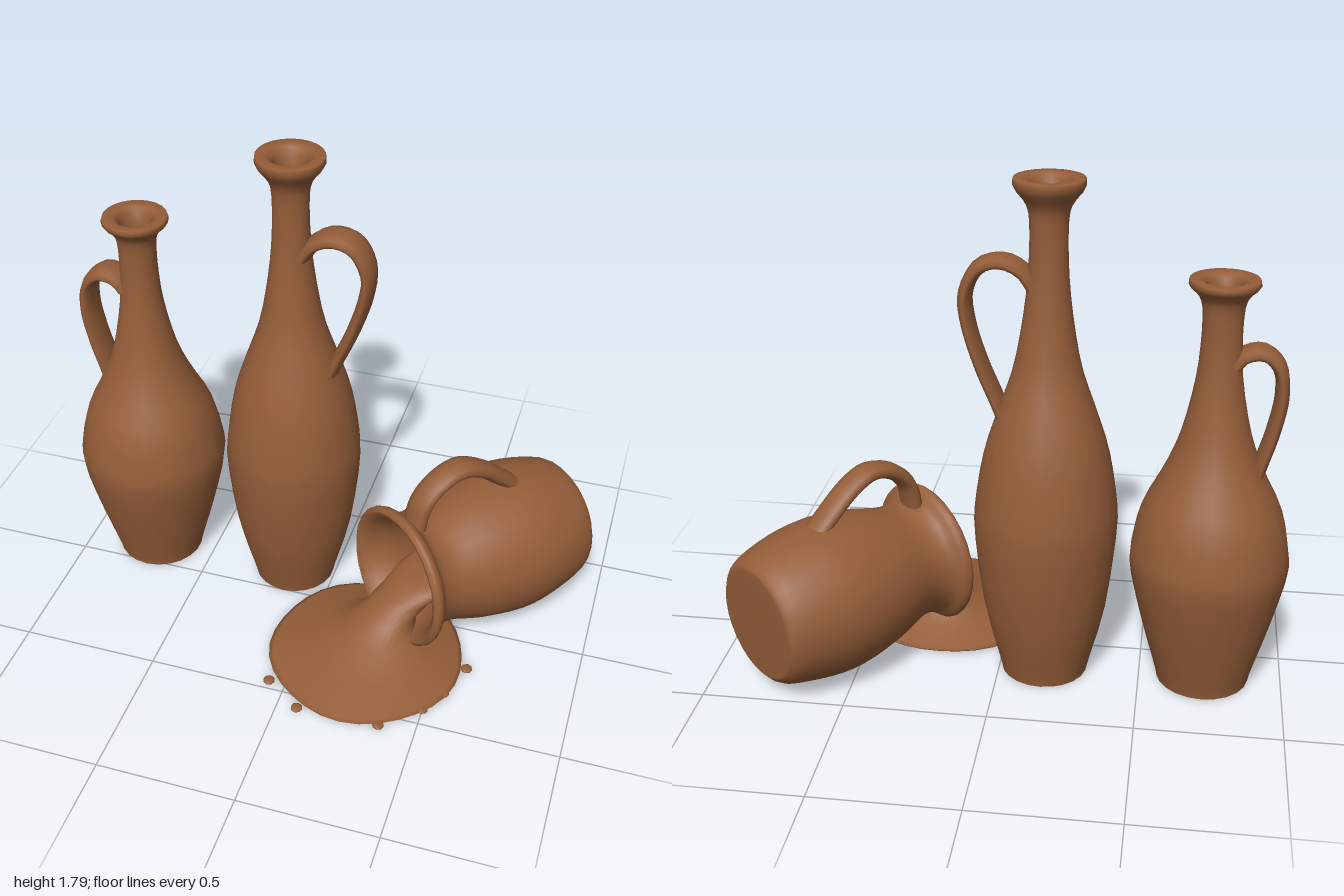
import * as THREE from 'three';

const clay = new THREE.MeshStandardMaterial({ color: 0x945d39 });
clay.name = 'terracotta';

const mesh = (name, geometry) => {
  const m = new THREE.Mesh(geometry, clay);
  m.name = name;
  return m;
};
const smooth = (pts, n) =>
  new THREE.SplineCurve(pts.map(([r, y]) => new THREE.Vector2(r, y))).getPoints(n);

// Strap handle: a tube along a planar curve, widened across the plane
function handle(name, pts, radius, widen) {
  const curve = new THREE.CatmullRomCurve3(pts.map(([x, y]) => new THREE.Vector3(x, y, 0)));
  return mesh(name, new THREE.TubeGeometry(curve, 28, radius, 10).scale(1, 1, widen));
}

// Hollow bottle: outer wall up, over the lip, inner wall down to an open foot
function bottle(name, x, z, outer, inner, handlePts) {
  const wall = [...smooth(outer, 32), ...smooth(inner, 20)];
  wall.push(wall[0].clone());
  const g = new THREE.Group();
  g.name = name;
  g.add(mesh('bottleBody', new THREE.LatheGeometry(wall, 22)));
  g.add(handle('bottleHandle', handlePts, 0.024, 2.8));
  g.position.set(x, 0, z);
  return g;
}

// Jug lying on its side; local y runs from base to mouth, local x is up
function fallenJug() {
  const g = new THREE.Group();
  g.name = 'fallenJug';
  const outer = smooth([[0.2, 0], [0.237, 0.04], [0.272, 0.18], [0.28, 0.31], [0.258, 0.46],
    [0.222, 0.58], [0.215, 0.64], [0.228, 0.69], [0.26, 0.72], [0.266, 0.745], [0.248, 0.76]], 30);
  const inner = smooth([[0.225, 0.745], [0.192, 0.66], [0.195, 0.58], [0.235, 0.45],
    [0.252, 0.3], [0.21, 0.06], [0.001, 0.04]], 18);
  const wall = [new THREE.Vector2(0, 0), ...outer, ...inner];
  g.add(mesh('jugBody', new THREE.LatheGeometry(wall, 28)));
  g.add(handle('jugHandle', [[0.19, 0.69], [0.31, 0.665], [0.38, 0.6], [0.408, 0.51],
    [0.375, 0.42], [0.3, 0.32], [0.25, 0.26]], 0.03, 1.8));

  const base = new THREE.Vector3(0.803, 0.282, -0.45);
  const mouth = new THREE.Vector3(0.315, 0.31, 0.105);
  const y = mouth.clone().sub(base).normalize();
  const x = new THREE.Vector3(0, 1, 0).addScaledVector(y, -y.y).normalize();
  const z = new THREE.Vector3().crossVectors(x, y);
  g.quaternion.setFromRotationMatrix(new THREE.Matrix4().makeBasis(x, y, z));
  g.position.copy(base);
  return g;
}

// Spill: round sections [x, z, y, radius] from under the puddle up into the mouth
function spill() {
  const rings = [
    [0.235, 0.225, 0.014, 0.001], [0.235, 0.225, 0.014, 0.345], [0.235, 0.225, 0.024, 0.355],
    [0.235, 0.225, 0.03, 0.34], [0.25, 0.205, 0.06, 0.23], [0.265, 0.165, 0.1, 0.135],
    [0.29, 0.12, 0.15, 0.1], [0.34, 0.06, 0.2, 0.1], [0.4, 0, 0.25, 0.12],
    [0.46, -0.07, 0.27, 0.12], [0.47, -0.08, 0.27, 0.001],
  ];
  const N = 32, pos = [], idx = [];
  rings.forEach(([cx, cz, y, r], i) => {
    for (let j = 0; j < N; j++) {
      const a = (j / N) * Math.PI * 2;
      const wave = i < 5 ? 1 + 0.012 * Math.sin(5 * a) : 1;
      pos.push(cx + r * wave * Math.cos(a), y, cz + r * wave * Math.sin(a));
      if (i) {
        const k = (j + 1) % N, p = (i - 1) * N, q = i * N;
        idx.push(p + j, q + j, p + k, p + k, q + j, q + k);
      }
    }
  });
  const geo = new THREE.BufferGeometry();
  geo.setAttribute('position', new THREE.Float32BufferAttribute(pos, 3));
  geo.setIndex(idx);
  geo.computeVertexNormals();
  return mesh('spill', geo);
}

export function createModel() {
  const model = new THREE.Group();
  model.name = 'potteryGroup';

  model.add(bottle('shortBottle', -0.724, -0.14,
    [[0.162, 0.014], [0.172, 0.06], [0.222, 0.24], [0.27, 0.45], [0.266, 0.55], [0.235, 0.68],
      [0.162, 0.83], [0.115, 0.96], [0.08, 1.13], [0.068, 1.26], [0.068, 1.38], [0.082, 1.43],
      [0.115, 1.465], [0.113, 1.487]],
    [[0.085, 1.487], [0.045, 1.43], [0.042, 1.1], [0.09, 0.95], [0.2, 0.68], [0.24, 0.46],
      [0.19, 0.22], [0.13, 0.014]],
    [[-0.05, 1.2], [-0.08, 1.235], [-0.14, 1.245], [-0.19, 1.2], [-0.205, 1.1], [-0.185, 0.97],
      [-0.155, 0.86], [-0.13, 0.77]]));

  model.add(bottle('tallBottle', -0.16, -0.147,
    [[0.152, 0.014], [0.162, 0.06], [0.215, 0.28], [0.247, 0.56], [0.24, 0.7], [0.21, 0.87],
      [0.162, 1.02], [0.115, 1.16], [0.085, 1.32], [0.067, 1.48], [0.063, 1.64], [0.075, 1.71],
      [0.115, 1.765], [0.116, 1.797]],
    [[0.085, 1.797], [0.045, 1.73], [0.042, 1.4], [0.085, 1.16], [0.18, 0.87], [0.217, 0.56],
      [0.185, 0.27], [0.12, 0.014]],
    [[0.05, 1.44], [0.085, 1.49], [0.15, 1.52], [0.225, 1.5], [0.272, 1.41], [0.265, 1.31],
      [0.22, 1.16], [0.17, 1.04], [0.14, 0.96]]));

  model.add(fallenJug(), spill());

  // Drops scattered around the puddle's edge
  const drop = new THREE.SphereGeometry(0.022, 8, 5);
  [[-0.06, 0.47], [0.075, 0.565], [0.37, 0.555], [0.5, 0.44], [0.555, 0.345], [0.608, 0.205]]
    .forEach(([x, z]) => {
      const d = mesh('drop', drop);
      d.scale.y = 0.35;
      d.position.set(x, 0.022, z);
      model.add(d);
    });
  return model;
}
